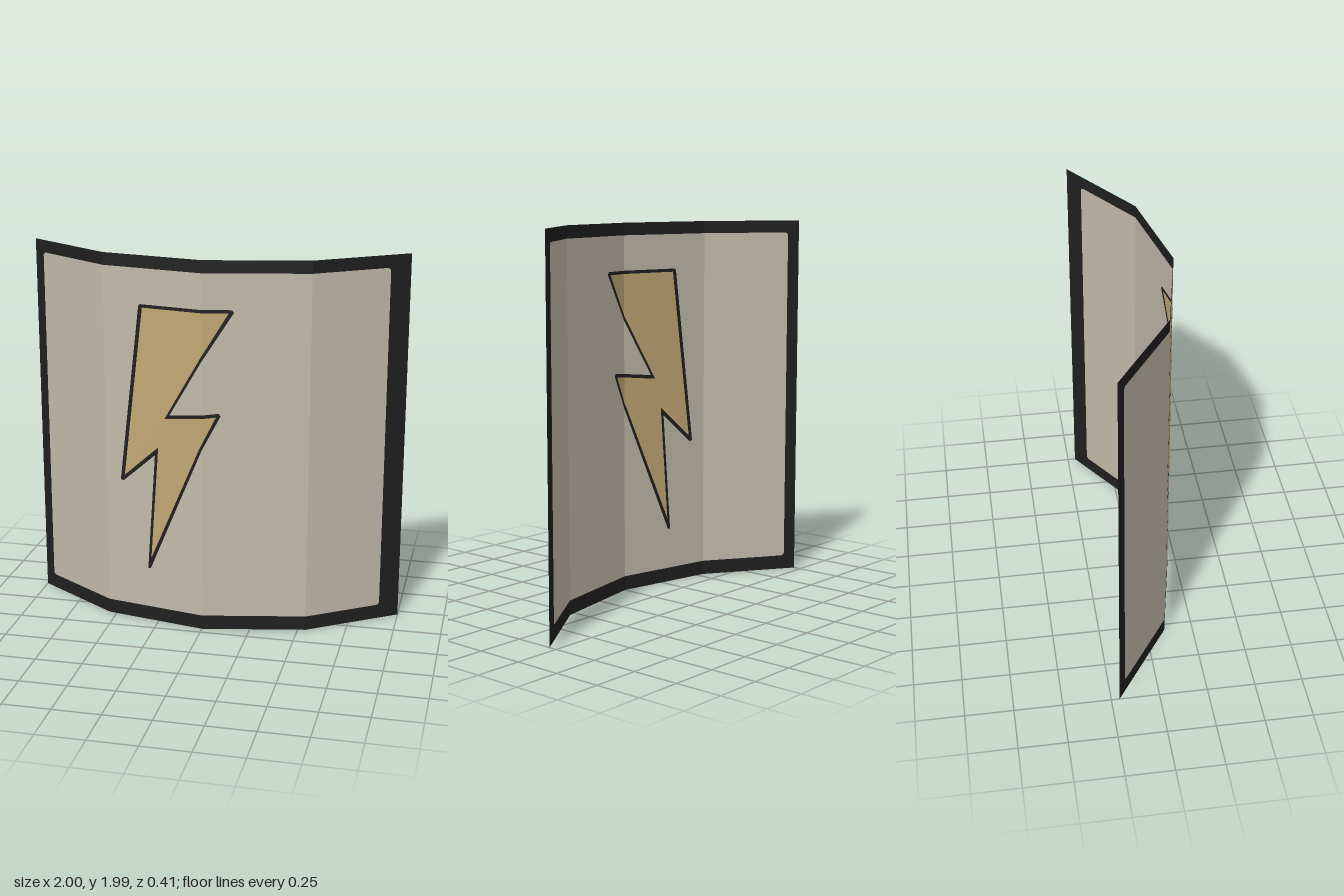
import * as THREE from 'three';

// Sheet bent into four flat facets along a quarter-circle arc
const RADIUS = Math.SQRT2;
const HEIGHT = 1.99;
const FOLDS = [-2, -1, 0, 1, 2].map((i) => {
  const a = (i * Math.PI) / 8;
  return { x: RADIUS * Math.sin(a), z: RADIUS * Math.cos(a) - (RADIUS + 1) / 2 };
});

// Keep the part of a convex polygon where side * (x - limit) >= 0
function clip(poly, limit, side) {
  const out = [];
  poly.forEach((p, i) => {
    const q = poly[(i + 1) % poly.length];
    const dp = side * (p.x - limit);
    const dq = side * (q.x - limit);
    if (dp >= 0) out.push(p);
    if (dp * dq < 0) out.push(p.clone().lerp(q, dp / (dp - dq)));
  });
  return out;
}

// Triangulate a flat shape, cut it at the folds and lay it on the facets
function bentGeometry(shape) {
  const flat = new THREE.ShapeGeometry(shape, 4).toNonIndexed();
  const pos = flat.attributes.position;
  const verts = [];
  for (let t = 0; t < pos.count; t += 3) {
    const tri = [0, 1, 2].map((k) => new THREE.Vector2(pos.getX(t + k), pos.getY(t + k)));
    for (let f = 0; f < 4; f++) {
      const a = FOLDS[f];
      const b = FOLDS[f + 1];
      const poly = clip(clip(tri, a.x, 1), b.x, -1);
      const lift = (p) => [p.x, p.y, a.z + ((b.z - a.z) * (p.x - a.x)) / (b.x - a.x)];
      for (let k = 1; k < poly.length - 1; k++) {
        verts.push(...lift(poly[0]), ...lift(poly[k]), ...lift(poly[k + 1]));
      }
    }
  }
  const geo = new THREE.BufferGeometry();
  geo.setAttribute('position', new THREE.Float32BufferAttribute(verts, 3));
  geo.computeVertexNormals();
  return geo;
}

function polygon(points) {
  return points.map(([x, y]) => new THREE.Vector2(x, y));
}

function roundedRect(x0, y0, x1, y1, r) {
  const s = new THREE.Shape();
  s.absarc(x1 - r, y0 + r, r, -Math.PI / 2, 0);
  s.absarc(x1 - r, y1 - r, r, 0, Math.PI / 2);
  s.absarc(x0 + r, y1 - r, r, Math.PI / 2, Math.PI);
  s.absarc(x0 + r, y0 + r, r, Math.PI, Math.PI * 1.5);
  return s.getPoints(4);
}

// Flat shape with an optional hole
function shapeOf(points, hole) {
  const s = new THREE.Shape(points);
  if (hole) s.holes.push(new THREE.Path(hole));
  return s;
}

export function createModel() {
  const group = new THREE.Group();
  group.name = 'curvedSign';

  const material = (name, color) => {
    const m = new THREE.MeshStandardMaterial({ color, side: THREE.DoubleSide });
    m.name = name;
    return m;
  };
  const black = material('black', 0x1f1f1f);
  const stone = material('warmGrey', 0xc1baaa);
  const ochre = material('ochre', 0xc1a774);

  const sheet = polygon([[-1, 0], [1, 0], [1, HEIGHT], [-1, HEIGHT]]);
  const panel = roundedRect(-0.947, 0.077, 0.904, 1.924, 0.018);

  // Lightning bolt: outer edge of the outline, then its coloured inside
  const boltOuter = polygon([
    [-0.335, 1.738], [0.15, 1.738], [0.161, 1.725], [0, 1.472], [-0.178, 1.168],
    [0.085, 1.198], [0.096, 1.185], [0, 1], [-0.293, 0.3], [-0.308, 0.297],
    [-0.262, 0.94], [-0.445, 0.775], [-0.46, 0.783], [-0.345, 1.73],
  ]);
  const boltInner = polygon([
    [-0.325, 1.721], [0.134, 1.721], [-0.013, 1.478], [-0.205, 1.146],
    [0.072, 1.178], [-0.014, 1.004], [-0.289, 0.36], [-0.243, 0.985], [-0.437, 0.808],
  ]);

  const add = (name, mat, outer, hole) => {
    const mesh = new THREE.Mesh(bentGeometry(shapeOf(outer, hole)), mat);
    mesh.name = name;
    group.add(mesh);
  };
  add('border', black, sheet, panel);
  add('panel', stone, panel, boltOuter);
  add('boltOutline', black, boltOuter, boltInner);
  add('bolt', ochre, boltInner);

  return group;
}
